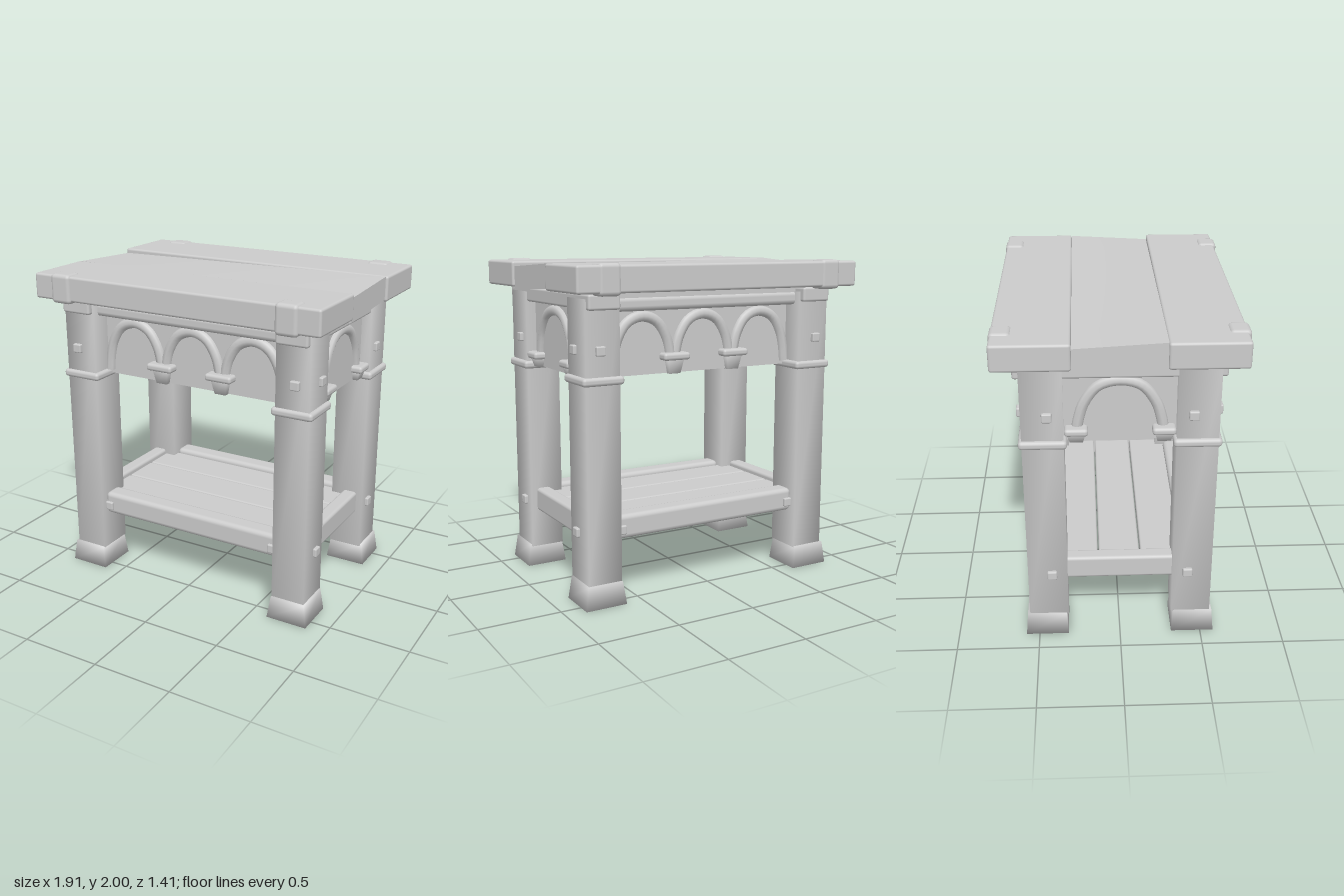
import * as THREE from 'three';
import { RoundedBoxGeometry } from 'three/addons/geometries/RoundedBoxGeometry.js';
import { mergeVertices } from 'three/addons/utils/BufferGeometryUtils.js';

export function createModel() {
  const table = new THREE.Group();
  table.name = 'table';
  const grey = new THREE.MeshStandardMaterial({ color: 0xcccccc });
  grey.name = 'plain grey';

  const add = (parent, name, geometry) => {
    const mesh = new THREE.Mesh(geometry, grey);
    mesh.name = name;
    parent.add(mesh);
    return mesh;
  };
  // Rounded block given by its lower and upper limits
  const block = (parent, name, [x0, x1], [y0, y1], [z0, z1], r = 0.015) => {
    const mesh = add(parent, name, new RoundedBoxGeometry(x1 - x0, y1 - y0, z1 - z0, 2, r));
    mesh.position.set((x0 + x1) / 2, (y0 + y1) / 2, (z0 + z1) / 2);
    return mesh;
  };
  // Rounded block given by its centre and size
  const centred = (parent, name, x, y, z, w, h, d, r) =>
    block(parent, name, [x - w / 2, x + w / 2], [y - h / 2, y + h / 2], [z - d / 2, z + d / 2], r);
  // Softly shaded post from a bottom [width, depth] to a top [width, depth]
  const taper = (parent, name, x, y0, y1, z, bottom, top) => {
    const box = new THREE.BoxGeometry(1, y1 - y0, 1);
    box.deleteAttribute('normal');
    box.deleteAttribute('uv');
    const geometry = mergeVertices(box);
    const p = geometry.attributes.position;
    for (let i = 0; i < p.count; i++) {
      const [w, d] = p.getY(i) > 0 ? top : bottom;
      p.setX(i, p.getX(i) * w);
      p.setZ(i, p.getZ(i) * d);
    }
    geometry.computeVertexNormals();
    add(parent, name, geometry).position.set(x, (y0 + y1) / 2, z);
  };

  // Table top: two outer planks and a middle one that is slightly twisted
  block(table, 'backPlank', [-0.955, 0.955], [1.835, 1.99], [-0.70, -0.265], 0.015);
  block(table, 'frontPlank', [-0.955, 0.955], [1.835, 1.99], [0.25, 0.69], 0.015);
  const middle = new THREE.BoxGeometry(1.88, 0.142, 0.515, 8, 1, 6);
  const mp = middle.attributes.position;
  for (let i = 0; i < mp.count; i++) {
    mp.setY(i, mp.getY(i) - mp.getX(i) * mp.getZ(i) * 0.06);
  }
  middle.computeVertexNormals();
  add(table, 'middlePlank', middle).position.set(0, 1.903, -0.007);

  for (const sx of [-1, 1]) {
    for (const sz of [-1, 1]) {
      const corner = new THREE.Group();
      corner.name = 'cornerLeg';
      table.add(corner);
      const x = sx * 0.737, z = sz * 0.437;
      // Leg, foot and collar
      taper(corner, 'leg', x, 0.13, 1.8, z, [0.214, 0.238], [0.214, 0.238]);
      taper(corner, 'foot', sx * 0.742, 0, 0.14, sz * 0.45, [0.262, 0.262], [0.222, 0.24]);
      centred(corner, 'collar', x, 1.337, z, 0.262, 0.05, 0.276, 0.02);
      // Clamp over the edge of the top
      centred(corner, 'clamp', sx * 0.755, 1.91, sz * 0.645, 0.14, 0.18, 0.122, 0.025);
      // Pegs
      centred(corner, 'sidePeg', sx * 0.84, 1.51, sz * 0.41, 0.05, 0.055, 0.058, 0.008);
      centred(corner, 'lowerSidePeg', sx * 0.84, 0.435, sz * 0.41, 0.05, 0.055, 0.058, 0.008);
      centred(corner, 'facePeg', sx * 0.755, 1.51, sz * 0.555, 0.058, 0.055, 0.05, 0.008);
      centred(corner, 'railPeg', sx * 0.603, 0.435, sz * 0.505, 0.055, 0.055, 0.04, 0.008);
    }
    // Side rails
    centred(table, 'sideTopBeam', sx * 0.737, 1.783, 0, 0.2, 0.09, 1.18, 0.015);
    centred(table, 'sideLowerRail', sx * 0.755, 0.447, 0, 0.095, 0.148, 0.68, 0.02);
    // Long rails
    centred(table, 'longTopRail', 0, 1.76, sx * 0.45, 1.32, 0.085, 0.12, 0.03);
    centred(table, 'longTopSpacer', 0, 1.815, sx * 0.45, 1.3, 0.06, 0.1, 0.01);
    centred(table, 'longLowerRail', 0, 0.448, sx * 0.442, 1.28, 0.148, 0.13, 0.03);
  }

  // Shelf planks between the lower rails
  for (let i = -1; i <= 1; i++) {
    centred(table, 'shelfPlank', 0, 0.46, i * 0.257, 1.42, 0.06, 0.25, 0.012);
  }

  // Arched apron in the xy plane: thin panel, arch mouldings and hanging corbels
  const apron = (name, width, centres, points, corbels, corbelY, corbelWidth, radius) => {
    const group = new THREE.Group();
    group.name = name;
    add(group, 'panel', new THREE.BoxGeometry(width, 0.41, 0.012)).position.y = 1.54;
    const half = points.map(([x, y]) => new THREE.Vector3(x, y, 0));
    const other = half.slice(0, -1).reverse().map((p) => new THREE.Vector3(-p.x, p.y, 0));
    const curve = new THREE.CatmullRomCurve3([...half, ...other]);
    for (const c of centres) {
      add(group, 'arch', new THREE.TubeGeometry(curve, 28, radius, 8)).position.x = c;
    }
    for (const c of corbels) {
      centred(group, 'corbelRing', c, corbelY, 0, corbelWidth, 0.045, 0.15, 0.018);
      taper(group, 'corbel', c, 1.332, corbelY, 0, [0.075, 0.075], [0.115, 0.115]);
    }
    table.add(group);
    return group;
  };

  const longArch = [[-0.2, 1.36], [-0.188, 1.46], [-0.16, 1.56], [-0.098, 1.648], [0, 1.682]];
  const sideArch = [[-0.25, 1.36], [-0.235, 1.46], [-0.2, 1.57], [-0.12, 1.67], [0, 1.702]];
  for (const s of [1, -1]) {
    const long = apron('longApron', 1.3, [-0.415, 0, 0.415], longArch, [-0.208, 0.208], 1.437, 0.18, 0.035);
    long.position.z = s * 0.412;
    long.rotation.y = s > 0 ? 0 : Math.PI;
    const side = apron('sideApron', 0.66, [0], sideArch, [-0.248, 0.248], 1.405, 0.135, 0.034);
    side.position.x = s * 0.775;
    side.rotation.y = s * Math.PI / 2;
  }

  return table;
}
